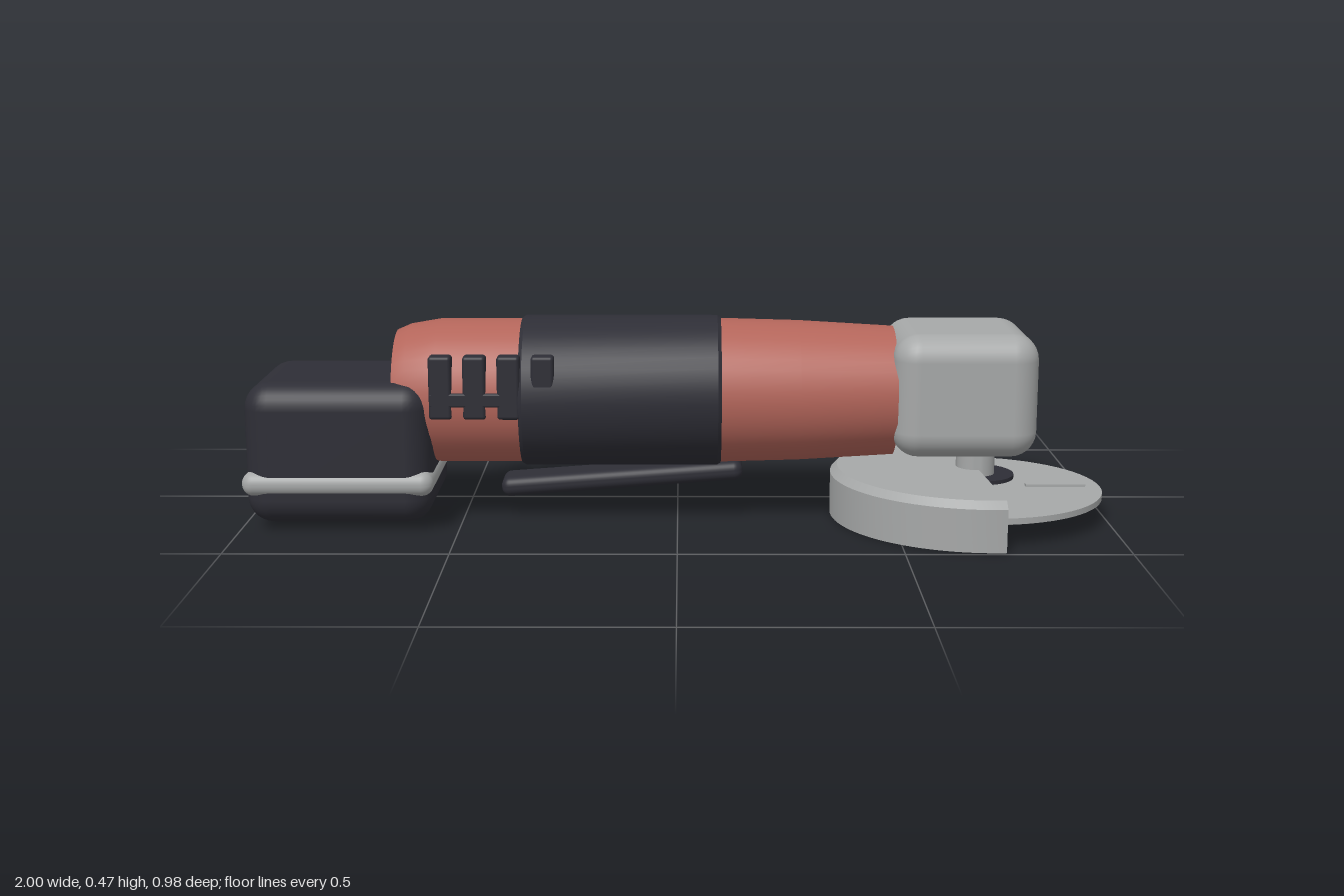
import * as THREE from 'three';
import { toCreasedNormals } from 'three/addons/utils/BufferGeometryUtils.js';
import { RoundedBoxGeometry } from 'three/addons/geometries/RoundedBoxGeometry.js';

export function createModel() {
  const model = new THREE.Group();
  model.name = 'angleGrinder';

  const material = (name, color, side = THREE.FrontSide) => {
    const m = new THREE.MeshStandardMaterial({ color, side });
    m.name = name;
    return m;
  };
  const red = material('redHousing', 0xb3655a);
  const dark = material('darkRubber', 0x2e2e36);
  const metal = material('greyMetal', 0xa6a8a8, THREE.DoubleSide);
  const abrasive = material('abrasiveGrey', 0x6e706e);

  const add = (name, geometry, mat, x = 0, y = 0, z = 0) => {
    const mesh = new THREE.Mesh(geometry, mat);
    mesh.name = name;
    mesh.position.set(x, y, z);
    model.add(mesh);
    return mesh;
  };
  const box = (name, w, h, d, r, mat, x, y, z) =>
    add(name, new RoundedBoxGeometry(w, h, d, 4, r), mat, x, y, z);
  const points = (list) => list.map(([r, h]) => new THREE.Vector2(r, h));
  const lathe = (list, segments = 40, start = 0, length = Math.PI * 2) =>
    toCreasedNormals(new THREE.LatheGeometry(points(list), segments, start, length), 0.5);
  const cylinder = (name, r, y0, y1, mat, sides = 40) =>
    add(name, toCreasedNormals(new THREE.CylinderGeometry(r, r, y1 - y0, sides), 0.5),
      mat, CX, (y0 + y1) / 2, CZ);

  const CX = 0.7, CZ = 0.15, AXIS = 0.297; // spindle position and body axis height

  // Motor housing and rubber grip, turned around the long axis
  const body = add('housing', lathe([[0, -0.65], [0.142, -0.65], [0.155, -0.62], [0.167, -0.55],
    [0.168, 0.1], [0.163, 0.28], [0.15, 0.5], [0, 0.5]]), red, 0, AXIS, CZ);
  const grip = add('grip', lathe([[0.16, -0.36], [0.17, -0.36], [0.175, -0.352],
    [0.175, 0.092], [0.17, 0.1], [0.16, 0.1]]), dark, 0, AXIS, CZ);
  body.rotation.z = grip.rotation.z = -Math.PI / 2;

  // Gear head
  box('gearHead', 0.33, 0.285, 0.335, 0.06, metal, 0.655, 0.307, CZ);

  // Cooling vents on both sides
  for (const side of [-1, 1]) {
    const z = CZ + side * 0.15;
    for (let i = 0; i < 4; i++)
      box('vent', 0.052, 0.145, 0.04, 0.008, dark, -0.535 + i * 0.077, 0.333, z);
    box('ventBar', 0.2, 0.032, 0.04, 0.005, dark, -0.46, 0.305, z);
  }

  // Battery pack with its band and indicator light
  box('battery', 0.425, 0.327, 0.37, 0.06, dark, -0.772, 0.178, CZ);
  box('batteryBand', 0.436, 0.056, 0.382, 0.027, metal, -0.772, 0.112, CZ);
  add('indicatorLight', new THREE.SphereGeometry(0.015, 16, 10), red, -0.985, 0.25, 0.03);

  // Paddle switch below the grip
  const paddle = box('paddleSwitch', 0.565, 0.045, 0.1, 0.02, dark, -0.13, 0.092, CZ);
  paddle.rotation.z = 0.075;

  // Side handle reaching towards the back
  const handle = add('sideHandle', lathe([[0, -0.05], [0.05, -0.05], [0.055, 0.015], [0.066, 0.06],
    [0.073, 0.11], [0.077, 0.4], [0.069, 0.468], [0, 0.492]], 24), dark, 0.655, 0.298, 0);
  handle.rotation.x = -Math.PI / 2;

  // Spindle, disc and fixings
  cylinder('spindle', 0.045, 0.065, 0.2, metal);
  cylinder('innerFlange', 0.09, 0.09, 0.099, dark);
  cylinder('disc', 0.295, 0.052, 0.066, metal, 64);
  cylinder('abrasiveFace', 0.286, 0.049, 0.053, abrasive, 64);
  cylinder('clampFlange', 0.095, 0.026, 0.05, dark);
  cylinder('spindleNut', 0.042, 0.008, 0.027, metal, 6);

  // Three radial ribs on the disc
  for (let i = 0; i < 3; i++) {
    const a = (i * Math.PI * 2) / 3;
    const rib = add('discRib', new THREE.BoxGeometry(0.14, 0.008, 0.018), metal,
      CX + Math.cos(a) * 0.19, 0.068, CZ - Math.sin(a) * 0.19);
    rib.rotation.y = a;
  }

  // Half-round guard with closed ends
  const profile = [[0.325, 0], [0.34, 0], [0.34, 0.098], [0.324, 0.115], [0.04, 0.115],
    [0.04, 0.1], [0.318, 0.1], [0.325, 0.092]];
  const start = Math.PI - 0.07, sweep = Math.PI + 0.14;
  add('guard', lathe([...profile, profile[0]], 48, start, sweep), metal, CX, 0, CZ);
  for (const angle of [start, start + sweep]) {
    const cap = add('guardEnd', new THREE.ShapeGeometry(new THREE.Shape(points(profile))),
      metal, CX, 0, CZ);
    cap.rotation.y = angle - Math.PI / 2;
  }

  return model;
}
